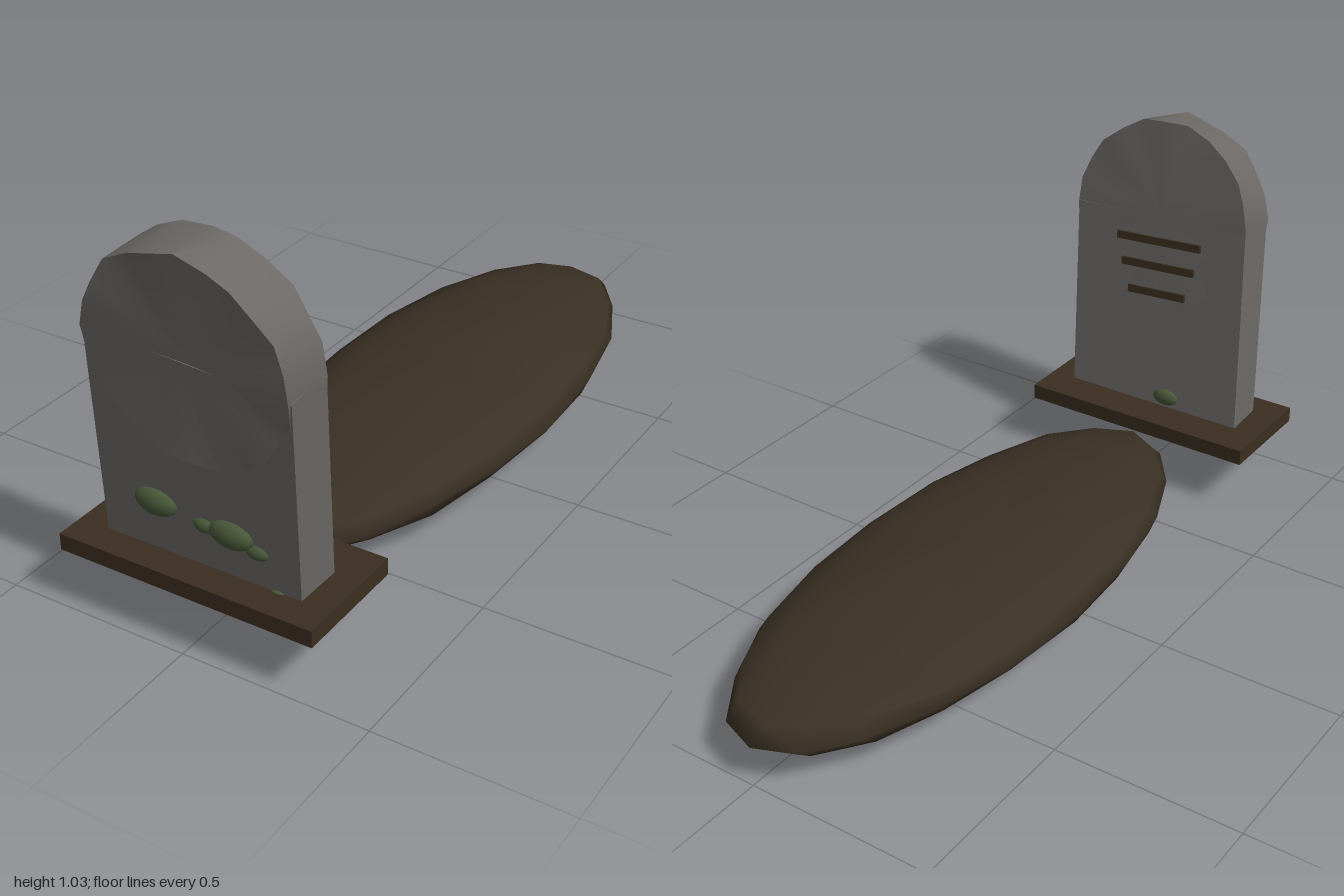
import * as THREE from 'three';
import { toCreasedNormals, mergeVertices } from 'three/addons/utils/BufferGeometryUtils.js';

const flat = (name, color) => {
  const m = new THREE.MeshStandardMaterial({ color });
  m.name = name;
  return m;
};

// Repeatable unevenness in -1..1, equal for vertices that share a position
const wobble = (x, y, z, seed) => {
  const r = (v) => Math.round(v * 1000) / 1000 + 0;
  const s = Math.sin(r(x) * 127.1 + r(y) * 311.7 + r(z) * 74.7 + seed) * 4375.85;
  return (s - Math.floor(s)) * 2 - 1;
};

function roughen(geo, ax, ay, az) {
  const p = geo.attributes.position;
  for (let i = 0; i < p.count; i++) {
    const x = p.getX(i), y = p.getY(i), z = p.getZ(i);
    p.setXYZ(i,
      x + ax * wobble(x, y, z, 1),
      y + ay * wobble(x, y, z, 2),
      z + az * wobble(x, y, z, 3));
  }
  return geo;
}

export function createModel() {
  const stone = flat('grey stone', 0x6b6865);
  const earth = flat('dark earth', 0x3a3024);
  const wood = flat('dark brown', 0x3a2e20);
  const moss = flat('moss green', 0x4a5a3a);

  const root = new THREE.Group();
  const add = (parent, name, geo, mat, x = 0, y = 0, z = 0) => {
    const mesh = new THREE.Mesh(geo, mat);
    mesh.name = name;
    mesh.position.set(x, y, z);
    parent.add(mesh);
    return mesh;
  };

  // Long, flattened mound of soil
  let soil = new THREE.SphereGeometry(1, 20, 10);
  soil.deleteAttribute('uv');
  soil.deleteAttribute('normal');
  soil = roughen(soil, 0.02, 0.04, 0.012);
  soil.scale(0.342, 0.117, 0.85);
  soil = mergeVertices(soil, 1e-4);
  soil.computeVertexNormals();
  add(root, 'graveMound', soil, earth, 0, 0.12, -0.145);

  // Slab that carries the headstone
  add(root, 'baseSlab', new THREE.BoxGeometry(0.7, 0.044, 0.31), wood, 0, 0.178, 0.835);

  // Headstone, leaning forward and to one side
  const headstone = new THREE.Group();
  headstone.name = 'headstone';
  headstone.position.set(0, 0.145, 0.845);
  headstone.rotation.set(0.105, 0, -0.06);
  root.add(headstone);

  const body = roughen(new THREE.BoxGeometry(0.54, 0.62, 0.125), 0.005, 0.004, 0.003);
  add(headstone, 'stoneBody', toCreasedNormals(body, 0.5), stone, 0, 0.31, 0);

  // Chipped round top
  const dome = new THREE.CylinderGeometry(0.268, 0.272, 0.126, 24);
  dome.rotateX(Math.PI / 2);
  roughen(dome, 0.007, 0.007, 0.006);
  add(headstone, 'stoneTop', toCreasedNormals(dome, 0.5), stone, 0, 0.62, 0.002);

  // Worn grooves on the back face
  [[0.27, 0.545], [0.235, 0.47], [0.185, 0.39]].forEach(([w, y], i) =>
    add(headstone, 'groove' + (i + 1), new THREE.BoxGeometry(w, 0.022, 0.009), wood, 0, y, -0.067));

  // Moss patches: x, y, z, half width, half height
  [
    [-0.105, 0.34, 0.928, 0.059, 0.036],
    [0.1, 0.321, 0.926, 0.06, 0.036],
    [0.027, 0.319, 0.926, 0.031, 0.019],
    [0.165, 0.295, 0.923, 0.031, 0.019],
    [0.21, 0.19, 0.912, 0.024, 0.015],
    [-0.04, 0.23, 0.79, 0.04, 0.025],
  ].forEach(([x, y, z, rx, ry], i) => {
    const patch = add(root, 'mossPatch' + (i + 1), new THREE.SphereGeometry(1, 14, 10), moss, x, y, z);
    patch.scale.set(rx, ry, rx * 0.4);
  });

  return root;
}
